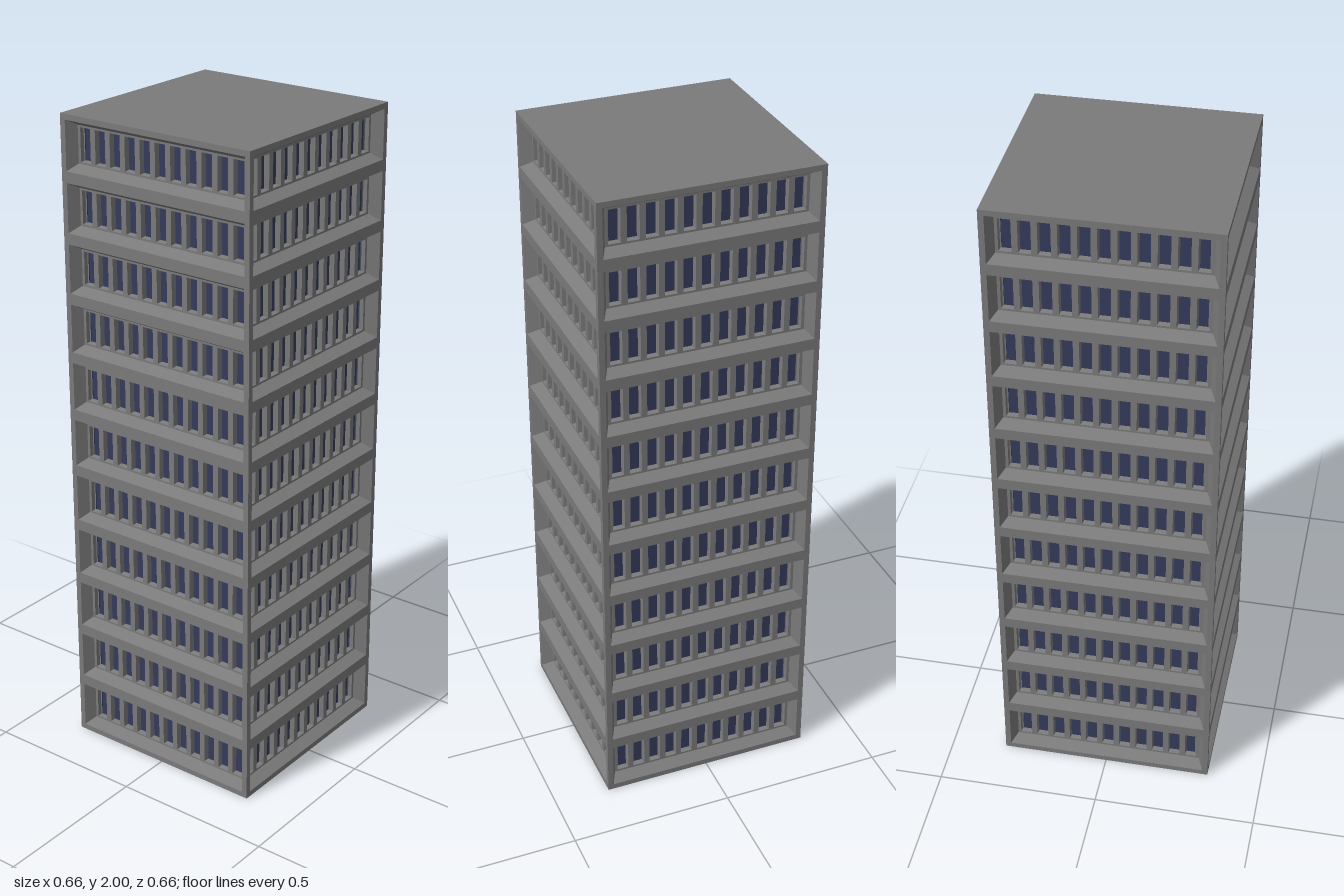
import * as THREE from 'three';

const FLOORS = 11, WINDOWS = 11;
const HALF = 0.329, FLOOR_H = 2 / FLOORS;

// Rectangle centred on (x, y) at depth z, corners counter-clockwise
function rect(x, y, w, h, z) {
  return [[-1, -1], [1, -1], [1, 1], [-1, 1]].map(([sx, sy]) => [x + sx * w / 2, y + sy * h / 2, z]);
}

// Append a quad as two triangles
function quad(out, a, b, c, d) {
  out.push(...a, ...b, ...c, ...a, ...c, ...d);
}

// Append the four faces that join an outer rectangle to an inner one
function ring(out, outer, inner) {
  for (let i = 0; i < 4; i++) {
    const j = (i + 1) % 4;
    quad(out, outer[i], outer[j], inner[j], inner[i]);
  }
}

function toGeometry(points) {
  const g = new THREE.BufferGeometry();
  g.setAttribute('position', new THREE.Float32BufferAttribute(points, 3));
  g.computeVertexNormals();
  return g;
}

// One storey of one facade: flat border, splayed recess, row of sunken windows
function storeyGeometries() {
  const wall = [], glass = [];
  const y = FLOOR_H / 2;
  const panelW = 0.589, panelH = 0.112, panelZ = HALF - 0.034, glassZ = panelZ - 0.015;
  const edge = rect(0, y, HALF * 2, FLOOR_H, HALF);
  const opening = rect(0, y, HALF * 2 - 0.034, FLOOR_H - 0.034, HALF);
  const panel = rect(0, y, panelW, panelH, panelZ);
  ring(wall, edge, opening);
  ring(wall, opening, panel);

  const pitch = panelW / WINDOWS;
  for (let i = 0; i < WINDOWS; i++) {
    const x = (i - (WINDOWS - 1) / 2) * pitch;
    const hole = rect(x, y, 0.036, 0.1, panelZ);
    const pane = rect(x, y, 0.030, 0.094, glassZ);
    ring(wall, rect(x, y, pitch, panelH, panelZ), hole);
    ring(wall, hole, pane);
    quad(glass, ...pane);
  }
  return { wall: toGeometry(wall), glass: toGeometry(glass) };
}

export function createModel() {
  const tower = new THREE.Group();
  tower.name = 'officeTower';
  const shell = { flatShading: true, side: THREE.DoubleSide };
  const concrete = new THREE.MeshStandardMaterial({ color: 0x7a7a7a, ...shell });
  const blueGlass = new THREE.MeshStandardMaterial({ color: 0x343b5c, ...shell });
  const { wall, glass } = storeyGeometries();

  // Four identical facades of stacked storeys
  ['front', 'left', 'back', 'right'].forEach((side, k) => {
    const facade = new THREE.Group();
    facade.name = side + 'Facade';
    facade.rotation.y = k * Math.PI / 2;
    for (let f = 0; f < FLOORS; f++) {
      const storey = new THREE.Group();
      storey.name = 'storey' + (f + 1);
      storey.position.y = f * FLOOR_H;
      const wallMesh = new THREE.Mesh(wall, concrete);
      wallMesh.name = 'wall';
      const glassMesh = new THREE.Mesh(glass, blueGlass);
      glassMesh.name = 'windows';
      storey.add(wallMesh, glassMesh);
      facade.add(storey);
    }
    tower.add(facade);
  });

  // Flat roof and underside
  const slab = new THREE.PlaneGeometry(HALF * 2, HALF * 2);
  for (const [name, y, turn] of [['roof', 2, -1], ['base', 0, 1]]) {
    const mesh = new THREE.Mesh(slab, concrete);
    mesh.name = name;
    mesh.position.y = y;
    mesh.rotation.x = turn * Math.PI / 2;
    tower.add(mesh);
  }
  return tower;
}
